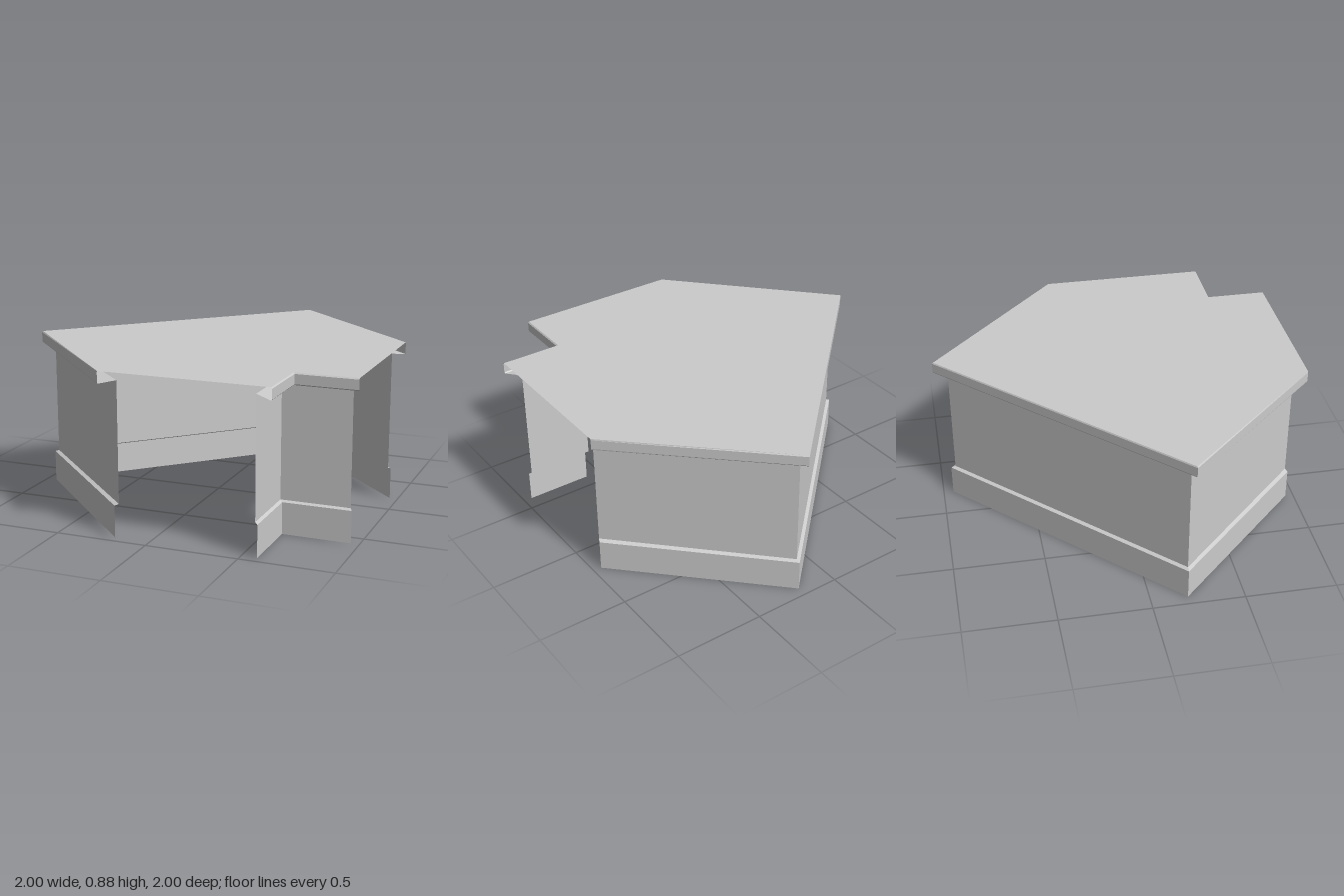
import * as THREE from 'three';

const material = new THREE.MeshStandardMaterial({ color: 0xcccccc, side: THREE.DoubleSide, flatShading: true });

// Each level: height y, long-wall corner (c, s), long-wall end (ex, ez), notch corner n.
const skirt = { c: 0.945, s: 0.2, ex: -0.19, ez: 0.955, n: 0.585 };
const wall = { c: 0.92, s: 0.2, ex: -0.17, ez: 0.945, n: 0.57 };
const rim = { c: 1, s: 0.21, ex: -0.25, ez: 1, n: 0.67 };
const rimInset = { c: 0.994, s: 0.209, ex: -0.248, ez: 1, n: 0.664 };

// Plan lines, clockwise from above and mirrored about the x = z diagonal
const longWalls = ({ c, s, ex, ez }) => [[ex, ez], [-c, s], [s, -c], [ez, ex]];
const notchWalls = ({ n, ez }) => [[ez, n], [n, n], [n, ez]];

// Joins stacked plan lines into one open sheet
function sheet(name, plan, levels) {
  const positions = [];
  for (let k = 0; k < levels.length - 1; k++) {
    const [y0, lower] = levels[k];
    const [y1, upper] = levels[k + 1];
    const low = plan(lower).map(([x, z]) => [x, y0, z]);
    const high = plan(upper).map(([x, z]) => [x, y1, z]);
    for (let i = 0; i < low.length - 1; i++) {
      positions.push(...low[i + 1], ...low[i], ...high[i]);
      positions.push(...low[i + 1], ...high[i], ...high[i + 1]);
    }
  }
  const geometry = new THREE.BufferGeometry();
  geometry.setAttribute('position', new THREE.Float32BufferAttribute(positions, 3));
  geometry.computeVertexNormals();
  const mesh = new THREE.Mesh(geometry, material);
  mesh.name = name;
  return mesh;
}

export function createModel() {
  const group = new THREE.Group();
  group.name = 'counter';

  for (const [side, plan] of [['long', longWalls], ['notch', notchWalls]]) {
    // Projecting baseboard with a sloped top edge
    group.add(sheet(side + 'Baseboard', plan, [[0, skirt], [0.173, skirt], [0.182, wall]]));
    // Upright panels
    group.add(sheet(side + 'Panels', plan, [[0.182, wall], [0.83, wall]]));
    // Overhanging rim: underside, lower bevel, face, upper bevel
    group.add(sheet(side + 'Rim', plan, [
      [0.83, wall], [0.817, rimInset], [0.823, rim], [0.875, rim], [0.882, rimInset],
    ]));
  }

  // Flat top sheet, open underneath
  const outline = [...longWalls(rimInset), ...notchWalls(rimInset)];
  const shape = new THREE.Shape(outline.map(([x, z]) => new THREE.Vector2(x, -z)));
  const top = new THREE.Mesh(new THREE.ShapeGeometry(shape).rotateX(-Math.PI / 2), material);
  top.position.y = 0.882;
  top.name = 'top';
  group.add(top);

  return group;
}
